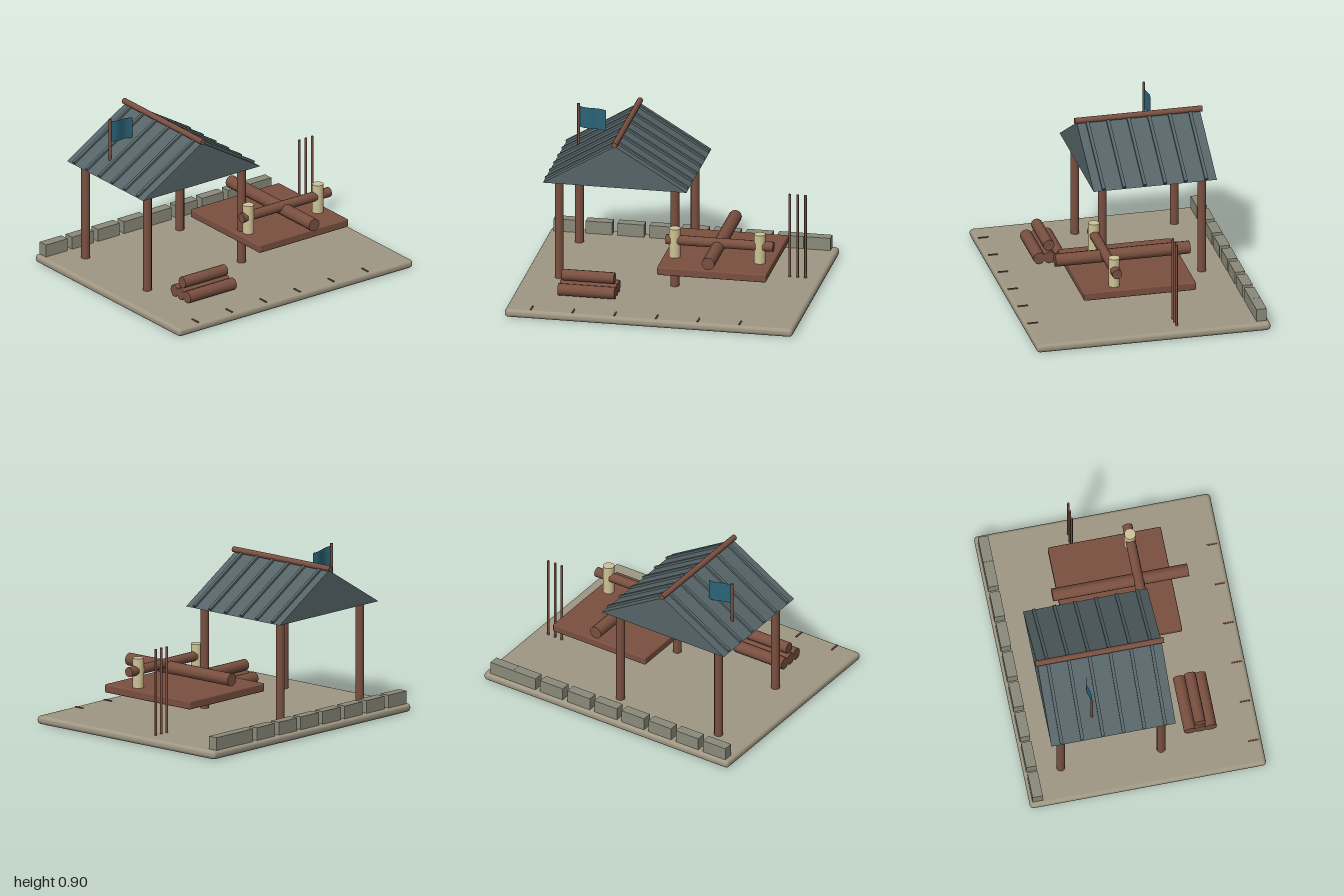
import * as THREE from 'three';
import { RoundedBoxGeometry } from 'three/addons/geometries/RoundedBoxGeometry.js';

const mat = (name, color) => Object.assign(new THREE.MeshStandardMaterial({ color }), { name });

export function createModel() {
  const earth = mat('packed earth', 0xa09884);
  const stone = mat('grey stone', 0x8b8b7b);
  const wood = mat('brown wood', 0x7a5040);
  const slate = mat('slate roof', 0x566468);
  const cream = mat('pale wood', 0xcfc396);
  const cloth = mat('blue cloth', 0x2c6578);
  cloth.side = THREE.DoubleSide;

  const model = new THREE.Group();
  model.name = 'workshopYard';
  // The whole yard is laid out square, then turned by 45 degrees
  const yard = new THREE.Group();
  yard.name = 'yard';
  yard.rotation.y = Math.PI / 4;
  model.add(yard);

  const add = (name, geometry, material, x, y, z) => {
    const mesh = new THREE.Mesh(geometry, material);
    mesh.name = name;
    mesh.position.set(x, y, z);
    yard.add(mesh);
    return mesh;
  };
  const box = (name, m, w, h, d, x, y, z) => add(name, new THREE.BoxGeometry(w, h, d), m, x, y, z);
  // Upright pole from y0 to y1
  const pole = (name, m, r, x, z, y0, y1, sides = 12) =>
    add(name, new THREE.CylinderGeometry(r, r, y1 - y0, sides), m, x, (y0 + y1) / 2, z);
  // Lying logs along x or z
  const logX = (name, r, x0, x1, y, z) => {
    add(name, new THREE.CylinderGeometry(r, r, x1 - x0, 12), wood, (x0 + x1) / 2, y, z).rotation.z = Math.PI / 2;
  };
  const logZ = (name, r, z0, z1, y, x) => {
    add(name, new THREE.CylinderGeometry(r, r, z1 - z0, 12), wood, x, y, (z0 + z1) / 2).rotation.x = Math.PI / 2;
  };

  // Ground slab
  const top = 0.046;
  add('groundSlab', new RoundedBoxGeometry(1.568, top, 1.284, 2, 0.02), earth, 0, top / 2, 0);

  // Row of stones along the back edge, the last two touching
  for (let i = 0; i < 9; i++) {
    const x = i < 8 ? -0.688 + i * 0.174 : 0.675;
    box('edgeStone', stone, 0.144, 0.075, 0.056, x, 0.078, -0.598);
  }
  // Small pegs along the front edge
  for (let i = 0; i < 6; i++) {
    box('edgePeg', wood, 0.008, 0.008, 0.055, -0.643 + i * 0.227, top + 0.001, 0.597);
  }

  // Shelter posts
  const cx = -0.278, cz = -0.167;
  for (const sx of [-1, 1]) for (const sz of [-1, 1]) {
    pole('shelterPost', wood, 0.024, cx + sx * 0.315, cz + sz * 0.273, 0.03, 0.61);
  }

  // Gable roof
  const half = 0.391, eave = 0.603, rise = 0.235, depth = 0.676;
  const gable = new THREE.Shape();
  gable.moveTo(-half, 0);
  gable.lineTo(half, 0);
  gable.lineTo(0, rise);
  gable.closePath();
  add('roof', new THREE.ExtrudeGeometry(gable, { depth, bevelEnabled: false }), slate, cx, eave, cz - depth / 2);

  // Battens down both slopes
  const slope = Math.hypot(half, rise), angle = Math.atan2(rise, half);
  for (const side of [-1, 1]) for (let i = 0; i < 6; i++) {
    const batten = box('roofBatten', slate, slope - 0.01, 0.018, 0.018,
      cx + side * half / 2, eave + rise / 2 + 0.003, cz + (i - 2.5) * depth / 6);
    batten.rotation.z = -side * angle;
  }
  logZ('ridgeLog', 0.016, cz - 0.35, cz + 0.35, eave + rise + 0.01, cx);

  // Flag on the roof
  pole('flagPole', wood, 0.008, -0.562, -0.265, 0.66, 0.902, 8);
  const flag = new THREE.PlaneGeometry(0.145, 0.118, 8, 1);
  const p = flag.attributes.position;
  for (let i = 0; i < p.count; i++) {
    const t = p.getX(i) / 0.145 + 0.5;
    p.setY(i, p.getY(i) - 0.015 * t);
    p.setZ(i, 0.007 * Math.sin(t * Math.PI * 2));
  }
  flag.computeVertexNormals();
  add('flag', flag, cloth, -0.486, 0.829, -0.265);

  // Work platform
  add('platform', new RoundedBoxGeometry(0.594, 0.046, 0.616, 2, 0.008), wood, 0.282, 0.208, 0.028);

  // Crossed logs on pale stands
  logZ('crossLog', 0.035, -0.313, 0.426, 0.304, 0.282);
  logX('beamLog', 0.027, 0, 0.585, 0.325, 0.155);
  for (const x of [0.046, 0.51]) pole('logStand', cream, 0.031, x, 0.155, 0.23, 0.392, 14);

  // Thin stakes beside the platform
  for (let i = 0; i < 3; i++) pole('stake', wood, 0.007, 0.612 + i * 0.043, -0.143, 0.03, 0.517, 8);

  // Log pile
  for (const z of [0.275, 0.331, 0.387]) logX('pileLog', 0.033, -0.54, -0.231, 0.085, z);
  logX('pileTopLog', 0.031, -0.53, -0.245, 0.149, 0.331);

  return model;
}
